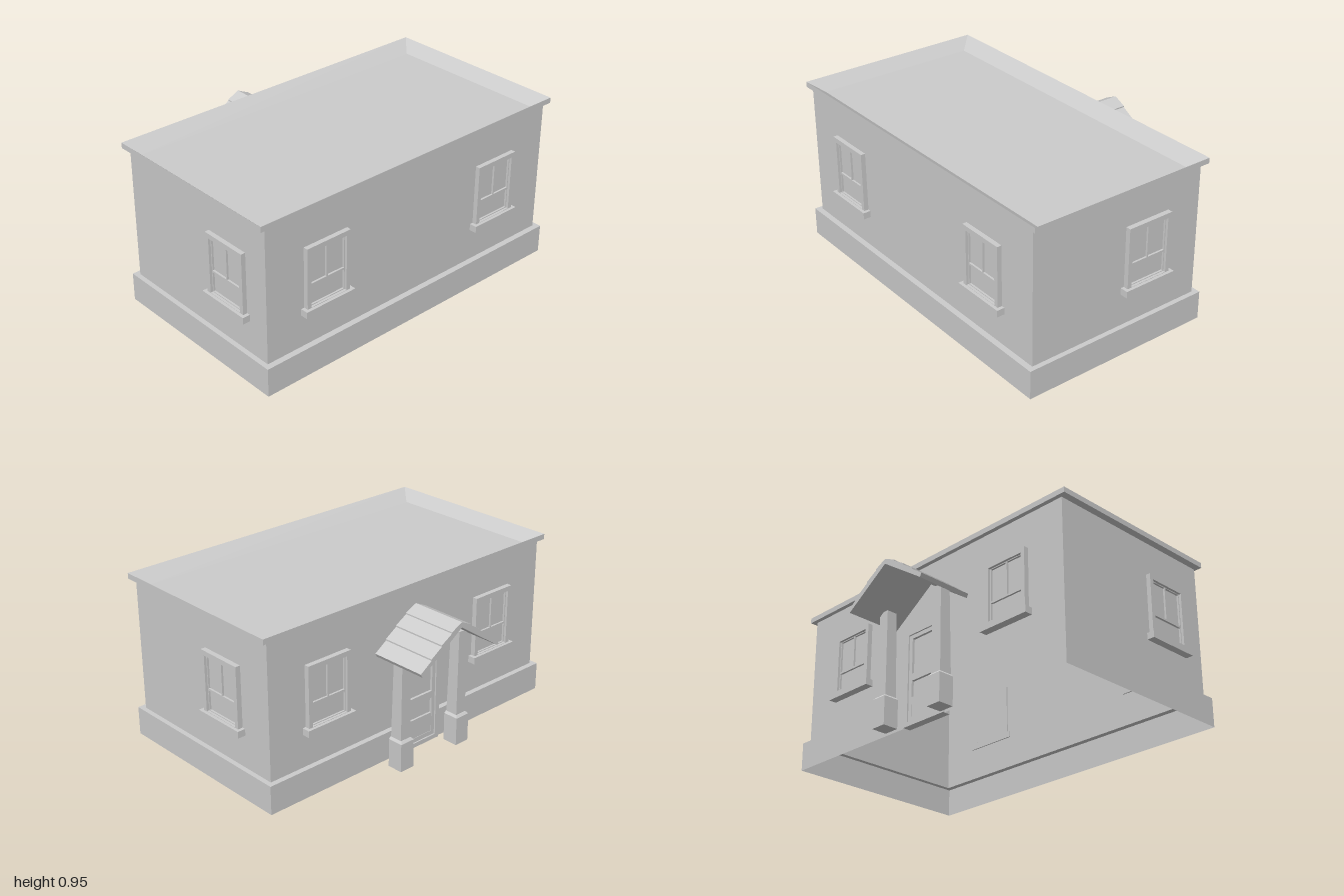
import * as THREE from 'three';

const material = new THREE.MeshStandardMaterial({ color: 0xcccccc, flatShading: true });
const shellMaterial = new THREE.MeshStandardMaterial({ color: 0xcccccc, flatShading: true, side: THREE.DoubleSide });

// Box given by its min and max corners
function box(parent, name, [x0, y0, z0], [x1, y1, z1]) {
  const mesh = new THREE.Mesh(new THREE.BoxGeometry(x1 - x0, y1 - y0, z1 - z0), material);
  mesh.position.set((x0 + x1) / 2, (y0 + y1) / 2, (z0 + z1) / 2);
  mesh.name = name;
  parent.add(mesh);
  return mesh;
}

// Skin through rectangular rings [x0, x1, z0, z1, y]; the last one can be capped
function ringShell(name, rings, cap) {
  const positions = [];
  const corners = ([x0, x1, z0, z1, y]) => [[x0, y, z1], [x1, y, z1], [x1, y, z0], [x0, y, z0]];
  const quad = (a, b, c, d) => positions.push(...a, ...b, ...c, ...a, ...c, ...d);
  for (let i = 0; i < rings.length - 1; i++) {
    const low = corners(rings[i]), high = corners(rings[i + 1]);
    for (let k = 0; k < 4; k++) {
      const n = (k + 1) % 4;
      quad(low[k], low[n], high[n], high[k]);
    }
  }
  if (cap) quad(...corners(rings[rings.length - 1]));
  const geometry = new THREE.BufferGeometry();
  geometry.setAttribute('position', new THREE.Float32BufferAttribute(positions, 3));
  geometry.computeVertexNormals();
  const mesh = new THREE.Mesh(geometry, shellMaterial);
  mesh.name = name;
  return mesh;
}

// Rectangular frame with rectangular openings, extruded outwards along +z
function frame(parent, name, [x0, y0, x1, y1], openings, z, depth) {
  const rect = (path, [a, b, c, d]) => path.moveTo(a, b).lineTo(c, b).lineTo(c, d).lineTo(a, d).closePath();
  const shape = rect(new THREE.Shape(), [x0, y0, x1, y1]);
  for (const o of openings) shape.holes.push(rect(new THREE.Path(), o));
  const mesh = new THREE.Mesh(new THREE.ExtrudeGeometry(shape, { depth, bevelEnabled: false }), material);
  mesh.position.z = z;
  mesh.name = name;
  parent.add(mesh);
}

// Sash window in a local frame: wall plane at z = 0, outside is +z
function createWindow(name) {
  const group = new THREE.Group();
  group.name = name;
  frame(group, 'windowFrame', [-0.137, 0.385, 0.137, 0.727], [[-0.113, 0.392, 0.113, 0.7]], -0.005, 0.033);
  frame(group, 'windowSashes', [-0.115, 0.388, 0.115, 0.702], [
    [-0.108, 0.396, 0.108, 0.505],
    [-0.108, 0.516, -0.004, 0.696],
    [0.004, 0.516, 0.108, 0.696],
  ], -0.002, 0.016);
  box(group, 'windowPane', [-0.115, 0.39, -0.004], [0.115, 0.7, 0.003]);
  box(group, 'windowSill', [-0.156, 0.353, -0.005], [0.156, 0.39, 0.045]);
  return group;
}

export function createModel() {
  const house = new THREE.Group();
  house.name = 'house';

  // Plinth, walls, cornice and sunken roof as open-bottomed skins
  house.add(ringShell('plinth', [
    [-0.985, 0.982, -0.415, 0.695, 0.01],
    [-0.985, 0.982, -0.415, 0.695, 0.17],
    [-0.958, 0.955, -0.385, 0.662, 0.17],
  ], false));
  house.add(ringShell('walls', [
    [-0.958, 0.955, -0.385, 0.662, 0.17],
    [-0.958, 0.955, -0.385, 0.662, 0.918],
  ], false));
  house.add(ringShell('roof', [
    [-0.958, 0.955, -0.385, 0.662, 0.918],
    [-0.993, 0.99, -0.405, 0.68, 0.922],
    [-0.993, 0.99, -0.405, 0.68, 0.952],
    [-0.93, 0.925, -0.33, 0.6, 0.892],
  ], true));

  // Windows: [name, x, z, turn about y]
  const windows = [
    ['frontWindowRight', -0.59, 0.66, 0],
    ['frontWindowLeft', 0.585, 0.66, 0],
    ['backWindowRight', -0.59, -0.385, Math.PI],
    ['backWindowLeft', 0.59, -0.385, Math.PI],
    ['leftWindow', 0.955, -0.043, Math.PI / 2],
    ['rightWindow', -0.955, 0.38, -Math.PI / 2],
  ];
  for (const [name, x, z, turn] of windows) {
    const unit = createWindow(name);
    unit.position.set(x, 0, z);
    unit.rotation.y = turn;
    house.add(unit);
  }

  // Door at the back, with an upper and a lower panel
  const door = new THREE.Group();
  door.name = 'door';
  frame(door, 'doorFrame', [-0.148, 0.01, 0.148, 0.548], [[-0.122, 0.035, 0.122, 0.522]], -0.005, 0.045);
  frame(door, 'doorLeaf', [-0.124, 0.033, 0.124, 0.524], [
    [-0.1, 0.06, 0.1, 0.26],
    [-0.1, 0.3, 0.1, 0.5],
  ], 0.01, 0.022);
  box(door, 'doorPanels', [-0.122, 0.033, -0.004], [0.122, 0.522, 0.018]);
  door.position.set(-0.022, 0, -0.385);
  door.rotation.y = Math.PI;
  house.add(door);

  // Porch
  const porch = new THREE.Group();
  porch.name = 'porch';
  porch.position.x = -0.022;
  for (const side of [-1, 1]) {
    const x = side * 0.205;
    box(porch, 'postBase', [x - 0.045, 0, -0.545], [x + 0.045, 0.16, -0.455]);
    // Chamfered cap of the base
    const cap = ringShell('postBaseCap', [
      [x - 0.045, x + 0.045, -0.545, -0.455, 0.16],
      [x - 0.035, x + 0.035, -0.535, -0.457, 0.172],
    ], true);
    porch.add(cap);
    // Shaft, leaning in slightly on the wall side
    const shaft = ringShell('postShaft', [
      [x - 0.033, x + 0.033, -0.53, -0.458, 0.165],
      [x - 0.03, x + 0.03, -0.53, -0.47, 0.655],
    ], true);
    porch.add(shaft);
  }

  // Gable roof of overlapping boards, stepped on top and plain underneath
  const edges = [0, 0.07, 0.14, 0.21, 0.283];
  const starts = [0.824, 0.784, 0.735, 0.682];
  const ends = [0.791, 0.743, 0.69, 0.632];
  const half = [];
  for (let i = 0; i < 4; i++) half.push([edges[i], starts[i]], [edges[i + 1], ends[i]]);
  half.push([0.272, 0.612]);
  const outline = [
    [0, 0.795],
    ...half.slice(1).reverse(),
    half[0],
    ...half.slice(1).map(([x, y]) => [-x, y]),
  ].map(([x, y]) => new THREE.Vector2(x, y));
  const porchRoof = new THREE.Mesh(
    new THREE.ExtrudeGeometry(new THREE.Shape(outline), { depth: 0.325, bevelEnabled: false }), material);
  porchRoof.position.z = -0.705;
  porchRoof.name = 'porchRoof';
  porch.add(porchRoof);
  house.add(porch);

  return house;
}
